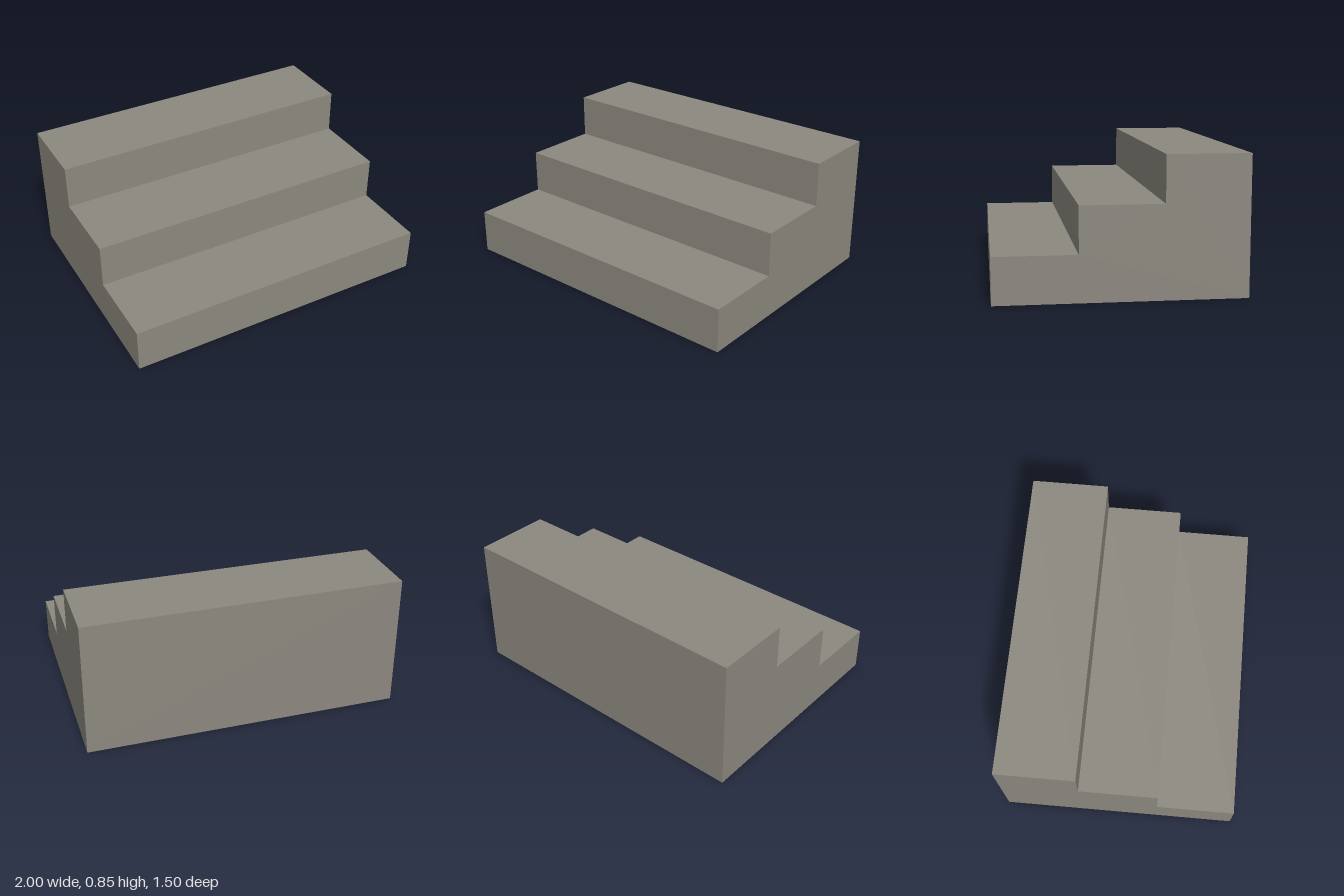
import * as THREE from 'three';

const WIDTH = 2, HEIGHT = 0.85, DEPTH = 1.5, STEPS = 3;

export function createModel() {
  const group = new THREE.Group();
  group.name = 'staircase';

  const stone = new THREE.MeshStandardMaterial({ color: 0x8c887f });
  stone.name = 'stone';

  // Stepped side profile: shape x becomes z, rising towards the back
  const rise = HEIGHT / STEPS, tread = DEPTH / STEPS;
  const profile = new THREE.Shape();
  profile.moveTo(-DEPTH / 2, 0);
  profile.lineTo(DEPTH / 2, 0);
  for (let i = 0; i < STEPS; i++) {
    const front = DEPTH / 2 - i * tread;
    profile.lineTo(front, (i + 1) * rise);
    profile.lineTo(front - tread, (i + 1) * rise);
  }
  profile.closePath();

  // One solid block of steps across the full width
  const geometry = new THREE.ExtrudeGeometry(profile, { depth: WIDTH, bevelEnabled: false });
  geometry.rotateY(-Math.PI / 2);
  geometry.translate(WIDTH / 2, 0, 0);

  const steps = new THREE.Mesh(geometry, stone);
  steps.name = 'steps';
  group.add(steps);
  return group;
}
